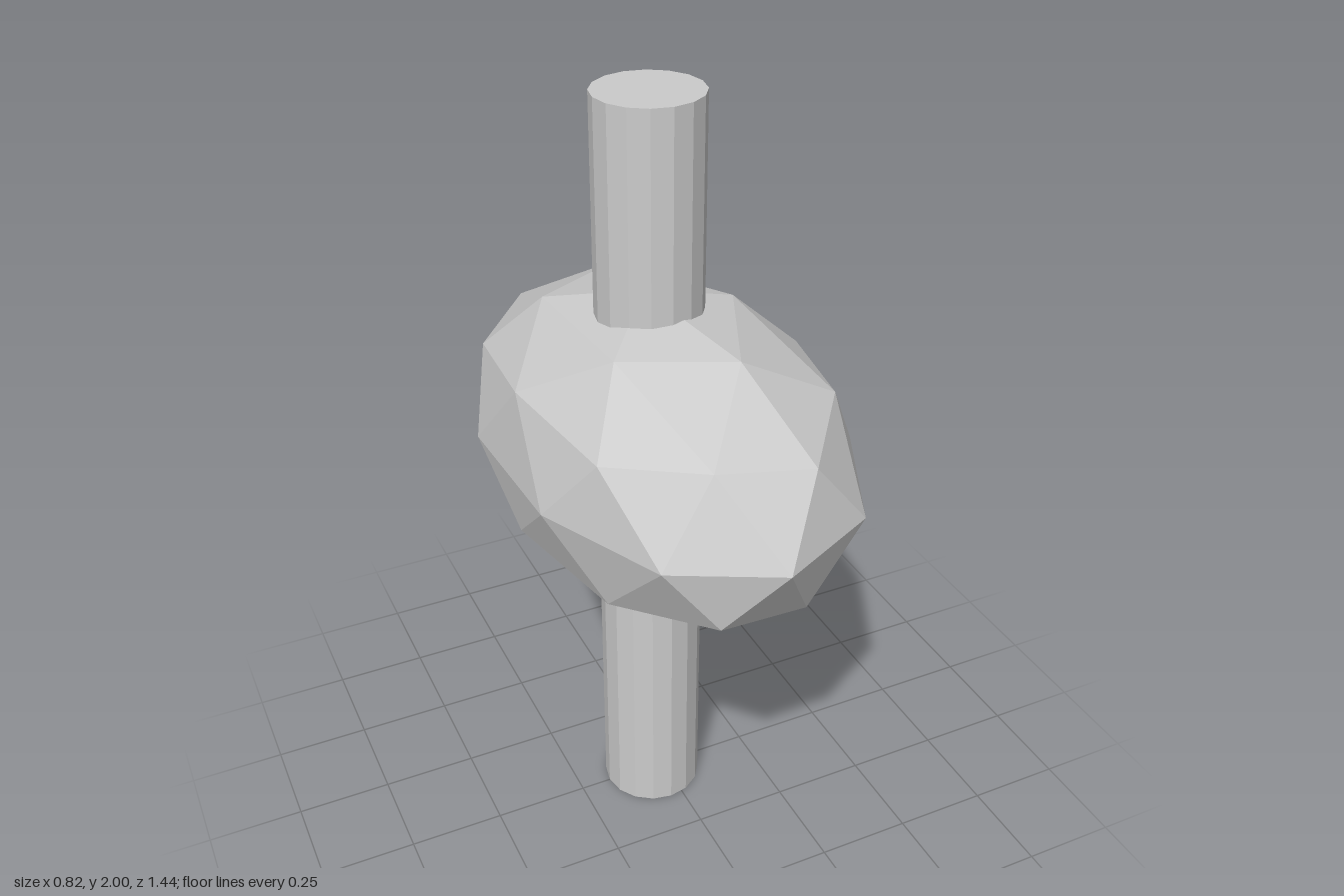
import * as THREE from 'three';

const AXIS_X = -0.035; // x of the handle axis
const STONE_Y = 1.11;  // height of the stone's centre

// Faceted stone: an icosphere with a vertex up, stretched along z and slightly uneven
function stoneGeometry() {
  const geo = new THREE.IcosahedronGeometry(1, 1);
  geo.rotateZ(-Math.atan(2 / (1 + Math.sqrt(5))));
  const pos = geo.attributes.position;
  const v = new THREE.Vector3();
  for (let i = 0; i < pos.count; i++) {
    v.fromBufferAttribute(pos, i);
    // underside a little flatter, sides pushed towards +x
    const flatten = v.y < 0 && v.y > -0.95 ? 0.92 : 1;
    const x = v.x * 0.43;
    pos.setXYZ(i, x + 0.2 * x * x, v.y * 0.397 * flatten, v.z * 0.72);
  }
  geo.rotateX(-0.08);
  geo.computeVertexNormals();
  return geo;
}

export function createModel() {
  const group = new THREE.Group();
  const material = new THREE.MeshStandardMaterial({ color: 0xcccccc, flatShading: true });

  // Straight handle running right through the stone
  const handle = new THREE.Mesh(new THREE.CylinderGeometry(0.132, 0.132, 2, 16), material);
  handle.name = 'handle';
  handle.position.set(AXIS_X, 1, 0);

  // Stone head
  const head = new THREE.Mesh(stoneGeometry(), material);
  head.name = 'stoneHead';
  head.position.set(AXIS_X, STONE_Y, 0);

  group.add(handle, head);
  return group;
}
